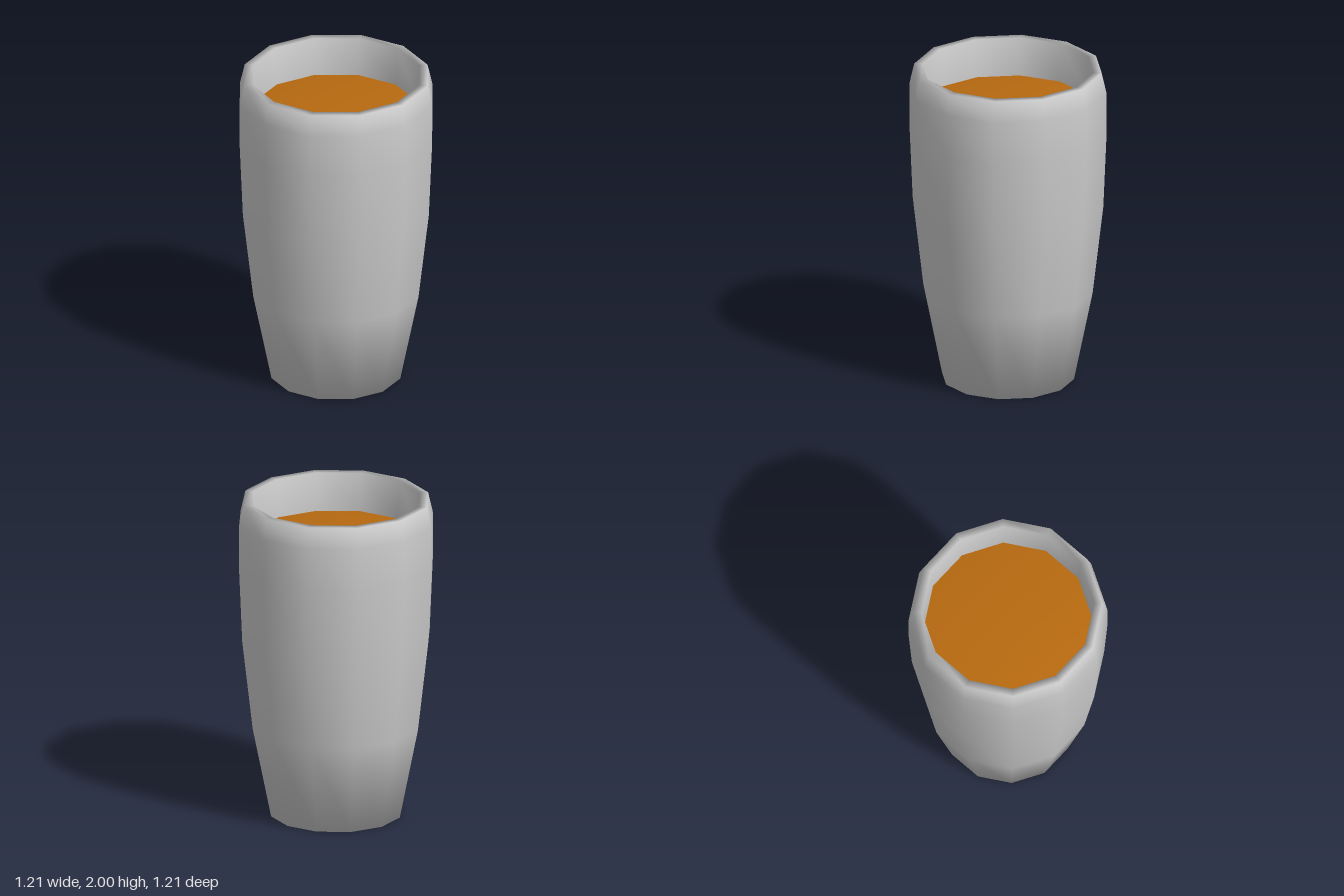
import * as THREE from 'three';

const SIDES = 12;

// Twelve-sided smooth solid of revolution from [radius, height] pairs
function turned(name, profile, color) {
  const points = profile.map(([r, y]) => new THREE.Vector2(r, y));
  const mesh = new THREE.Mesh(
    new THREE.LatheGeometry(points, SIDES),
    new THREE.MeshStandardMaterial({ color })
  );
  mesh.name = name;
  return mesh;
}

export function createModel() {
  const model = new THREE.Group();
  model.name = 'tumbler';

  // Cup: base, swelling outer wall, bevelled rim, then down the inside
  model.add(turned('cup', [
    [0, 0], [0.405, 0],
    [0.52, 0.57], [0.585, 1.13], [0.605, 1.6], [0.605, 1.87],
    [0.575, 2], [0.525, 2],
    [0.511, 1.76], [0.49, 1.13], [0.43, 0.57], [0.34, 0.12], [0, 0.12],
  ], 0xcccccc));

  // Drink: closed body whose top sits a little below the rim
  model.add(turned('drink', [
    [0, 0.14], [0.32, 0.14], [0.42, 0.57], [0.48, 1.13],
    [0.51, 1.7], [0.51, 1.76], [0, 1.76],
  ], 0xb86a10));

  return model;
}
